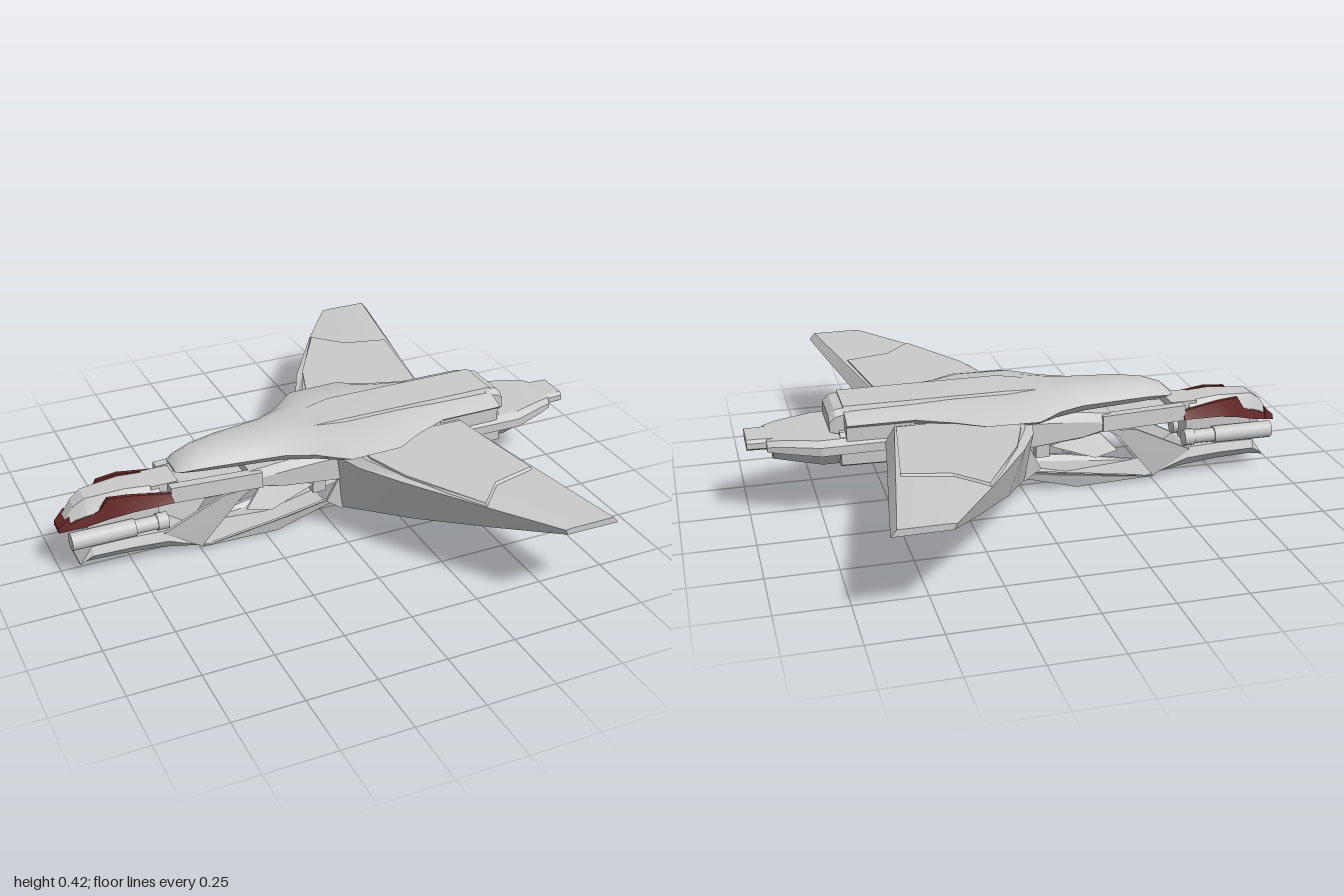
import * as THREE from 'three';
import { toCreasedNormals } from 'three/addons/utils/BufferGeometryUtils.js';

const mat = (name, color) => Object.assign(new THREE.MeshStandardMaterial({ color }), { name });

// Skin a closed solid through rings of [x, y, z] points, facing outward
function loft(rings, crease = 0.35) {
  const n = rings[0].length, tris = [];
  const mid = r => [0, 1, 2].map(k => r.reduce((s, p) => s + p[k], 0) / n);
  for (let i = 0; i < rings.length - 1; i++) {
    for (let j = 0; j < n; j++) {
      const k = (j + 1) % n, a = rings[i], b = rings[i + 1];
      tris.push([a[j], a[k], b[k]], [a[j], b[k], b[j]]);
    }
  }
  const first = rings[0], last = rings[rings.length - 1];
  const c0 = mid(first), c1 = mid(last);
  for (let j = 0; j < n; j++) {
    const k = (j + 1) % n;
    tris.push([c0, first[k], first[j]], [c1, last[j], last[k]]);
  }
  let volume = 0;
  const A = new THREE.Vector3(), B = new THREE.Vector3(), C = new THREE.Vector3();
  for (const [a, b, c] of tris) {
    volume += A.fromArray(a).dot(B.fromArray(b).cross(C.fromArray(c)));
  }
  if (volume < 0) tris.forEach(t => t.reverse());
  const g = new THREE.BufferGeometry();
  g.setAttribute('position', new THREE.Float32BufferAttribute(tris.flat(2), 3));
  return toCreasedNormals(g, crease);
}

// Symmetric ring across z at one x, from half profile [halfWidth, y], bottom to top
const ringX = (x, half) => [
  ...half.map(([w, y]) => [x, y, w]),
  ...half.slice().reverse().map(([w, y]) => [x, y, -w]),
];
const flip = rings => rings.map(r => r.map(([x, y, z]) => [x, y, -z]));
// Side plate from [x, y, z] outline with thickness t across z
const plate = (pts, t) => [pts, pts.map(([x, y, z]) => [x, y, z - t])];

export function createModel() {
  const model = new THREE.Group();
  const grey = mat('hullGrey', 0xcacaca), red = mat('darkRed', 0x662828);

  const add = (name, geo, m = grey) => {
    const mesh = new THREE.Mesh(geo, m);
    mesh.name = name;
    model.add(mesh);
    return mesh;
  };
  const pair = (name, rings, m) => {
    add(name + 'Left', loft(rings), m);
    add(name + 'Right', loft(flip(rings)), m);
  };
  const box = (name, x0, x1, y0, y1, z0, z1) => {
    const g = new THREE.BoxGeometry(x1 - x0, y1 - y0, z1 - z0);
    g.translate((x0 + x1) / 2, (y0 + y1) / 2, (z0 + z1) / 2);
    add(name, g);
  };

  // Upper shell: x, half width, bottom, edge, top
  const shell = [
    [-0.575, 0.05, 0.325, 0.33, 0.335], [-0.55, 0.07, 0.325, 0.335, 0.358],
    [-0.48, 0.09, 0.325, 0.345, 0.382], [-0.38, 0.11, 0.325, 0.35, 0.395],
    [-0.2, 0.14, 0.325, 0.355, 0.4], [-0.1, 0.19, 0.327, 0.36, 0.403],
    [-0.05, 0.235, 0.33, 0.362, 0.405], [0, 0.278, 0.335, 0.365, 0.406],
    [0.19, 0.278, 0.345, 0.368, 0.408], [0.29, 0.22, 0.35, 0.37, 0.408],
    [0.42, 0.17, 0.35, 0.375, 0.408], [0.66, 0.168, 0.35, 0.375, 0.405],
  ];
  add('upperShell', loft(shell.map(([x, w, b, e, t]) =>
    ringX(x, [[w * 0.8, b], [w, e], [w * 0.72, e + (t - e) * 0.65], [w * 0.4, t]])), 0.5));
  // Raised spine and rear cap
  add('spine', loft([[-0.07, 0.06, 0.403], [0.07, 0.085, 0.418], [0.66, 0.085, 0.418]].map(
    ([x, w, t]) => ringX(x, [[w + 0.01, 0.39], [w, t]]))));
  add('rearCap', loft([[0.64, 0.1, 0.325, 0.416], [0.69, 0.1, 0.325, 0.406], [0.712, 0.095, 0.33, 0.385]].map(
    ([x, w, b, t]) => ringX(x, [[w, b], [w, t - 0.02], [w - 0.02, t]]))));
  // Ribs and solid block below the shell
  for (let i = 0; i < 3; i++) {
    const x = 0.2 + i * 0.08;
    box('shellRib', x, x + 0.045, 0.31, 0.36, -0.15, 0.15);
  }
  box('rearBlock', 0.42, 0.66, 0.3, 0.37, -0.15, 0.15);

  // Neck: floor between two side rails, running into the main body
  add('neckFloor', loft([[-0.68, 0.075, 0.24], [-0.3, 0.12, 0.235]].map(
    ([x, w, b]) => ringX(x, [[w * 0.8, b], [w, b + 0.015], [w, b + 0.03]]))));
  pair('neckRail', [[-0.61, 0.105], [-0.28, 0.134]].map(
    ([x, w]) => [[x, 0.242, w], [x, 0.3, w - 0.004], [x, 0.3, w - 0.04], [x, 0.242, w - 0.05]]));
  add('mainBody', loft([
    [-0.32, 0.12, 0.235, 0.3], [-0.2, 0.138, 0.216, 0.32], [0.03, 0.165, 0.205, 0.345],
    [0.25, 0.16, 0.205, 0.345], [0.68, 0.14, 0.205, 0.335],
  ].map(([x, w, b, t]) => ringX(x, [[w * 0.8, b], [w, b + 0.015], [w, t - 0.03], [w * 0.85, t]]))));

  // Tail: wide upper slab, narrower lower block, end nozzle
  add('tailSlab', loft([
    [0.45, 0.16, 0.27, 0.32], [0.75, 0.165, 0.27, 0.32], [0.88, 0.115, 0.275, 0.318], [0.93, 0.092, 0.277, 0.312],
  ].map(([x, w, b, t]) => ringX(x, [[w, b], [w, t - 0.018], [w * 0.84, t]]))));
  add('tailBlock', loft([[0.4, 0.11, 0.205], [0.74, 0.11, 0.205], [0.91, 0.07, 0.235]].map(
    ([x, w, b]) => ringX(x, [[w * 0.75, b], [w * 1.25, 0.275], [w, 0.28]]))));
  add('tailNozzle', loft([[0.9, 0.075], [0.998, 0.068]].map(
    ([x, w]) => ringX(x, [[w * 0.8, 0.275], [w, 0.285], [w, 0.305], [w * 0.8, 0.315]]))));

  // Wings: wedge sections whose deep lower ridge is set back from the leading edge
  // z, leading x, leading top, ridge x, ridge y, trailing top x, trailing bottom x, trailing bottom y
  const wing = [
    [0.14, -0.01, 0.315, 0.02, 0.088, 0.49, 0.525, 0.295], [0.28, 0.025, 0.325, 0.085, 0.128, 0.515, 0.545, 0.3],
    [0.44, 0.098, 0.341, 0.155, 0.175, 0.542, 0.57, 0.307], [0.72, 0.279, 0.348, 0.315, 0.258, 0.59, 0.615, 0.317],
    [0.95, 0.445, 0.348, 0.455, 0.328, 0.63, 0.65, 0.326],
  ];
  pair('wing', wing.map(([z, xl, yt, xr, yr, xt, xb, ytb]) =>
    [[xr, yr, z], [xl, yt, z], [xl + 0.03, 0.35, z], [xt, 0.35, z], [xb, ytb, z]]));
  // Raised inner wing panel with a bevelled outer step
  const panel = [[0.06, 0.16], [0.07, 0.28], [0.125, 0.44], [0.285, 0.71], [0.385, 0.605], [0.548, 0.565], [0.49, 0.17]];
  pair('wingPanel', [
    panel.map(([x, z], i) => [x, 0.345, i > 2 && i < 6 ? z + 0.016 : z]),
    panel.map(([x, z]) => [x, 0.357, z]),
  ]);
  // Fins closing the wing roots
  pair('wingRootFin', plate([[-0.04, 0.13, 0.15], [0.02, 0.088, 0.152], [0.2, 0.16, 0.155], [0.2, 0.3, 0.165], [0.05, 0.315, 0.165]], 0.01));

  // Head
  add('head', loft([
    [-0.985, 0.03, 0.185, 0.205], [-0.94, 0.042, 0.2, 0.27], [-0.9, 0.058, 0.21, 0.298],
    [-0.76, 0.078, 0.235, 0.308], [-0.64, 0.085, 0.24, 0.298],
  ].map(([x, w, b, t]) => ringX(x, [[w * 0.8, b], [w, b + (t - b) * 0.35], [w * 0.6, t]]))));
  // Red cheek armour: thin strip in front, deep panel behind
  pair('cheekArmour', [
    [-1, 0.034, 0.18, 0.197], [-0.91, 0.064, 0.2, 0.232], [-0.86, 0.078, 0.216, 0.252],
    [-0.83, 0.088, 0.226, 0.3], [-0.75, 0.106, 0.243, 0.3], [-0.605, 0.114, 0.248, 0.276],
  ].map(([x, w, b, t]) => [[x, b, w], [x, t, w * 0.85], [x, t, w * 0.85 - 0.014], [x, b, w - 0.016]]), red);
  add('noseTip', loft([[-1, 0.034, 0.18, 0.197], [-0.96, 0.047, 0.19, 0.235]].map(
    ([x, w, b, t]) => ringX(x, [[w, b], [w * 0.85, t]]))), red);
  box('headCore', -0.9, -0.64, 0.12, 0.245, -0.04, 0.04);
  box('cockpitFrame', -0.67, -0.57, 0.265, 0.3, -0.06, 0.06);

  // Guns
  for (const s of [1, -1]) {
    for (const [name, x0, x1, r] of [['gunBarrel', -0.97, -0.74, 0.032], ['gunSleeve', -0.74, -0.66, 0.026], ['gunBreech', -0.66, -0.62, 0.031]]) {
      const g = new THREE.CylinderGeometry(r, r, x1 - x0, 16);
      g.rotateZ(Math.PI / 2);
      add(name, g).position.set((x0 + x1) / 2, 0.156, s * 0.065);
    }
  }

  // Jaw below the guns
  add('jaw', loft([
    [-0.945, 0.07, 0.053, 0.06], [-0.9, 0.085, 0.06, 0.122], [-0.76, 0.092, 0.058, 0.126],
    [-0.63, 0.092, 0.045, 0.12], [-0.5, 0.08, 0.018, 0.035],
  ].map(([x, w, b, t]) => ringX(x, [[w * 0.7, b], [w, b + (t - b) * 0.5], [w * 0.85, t]]))));
  // Struts rising from jaw to body
  pair('jawStrut', plate([[-0.64, 0.115, 0.088], [-0.5, 0.02, 0.08], [-0.35, 0.205, 0.105], [-0.3, 0.238, 0.11], [-0.42, 0.225, 0.105]], 0.012));
  // Keel blades sweeping back
  pair('keelBlade', plate([[-0.5, 0.02, 0.085], [-0.2, 0.004, 0.07], [0.18, 0.1, 0.05], [-0.03, 0.088, 0.085], [-0.2, 0.07, 0.1]], 0.012));
  add('keelFloor', loft([[-0.5, 0.08, 0.018], [-0.2, 0.07, 0.003], [0.0, 0.055, 0.055]].map(
    ([x, w, y]) => ringX(x, [[w, y], [w, y + 0.008]]))));

  // Underside fins and fittings
  pair('bellyFin', plate([[-0.34, 0.16, 0.125], [-0.25, 0.145, 0.14], [-0.08, 0.205, 0.13], [-0.16, 0.225, 0.115], [-0.28, 0.225, 0.1]], 0.01));
  for (const s of [1, -1]) {
    box('bellyFitting', -0.08, -0.03, 0.16, 0.23, s * 0.1 - 0.02, s * 0.1 + 0.02);
    box('bellyRail', 0.22, 0.42, 0.155, 0.21, s * 0.07 - 0.015, s * 0.07 + 0.015);
  }
  return model;
}
